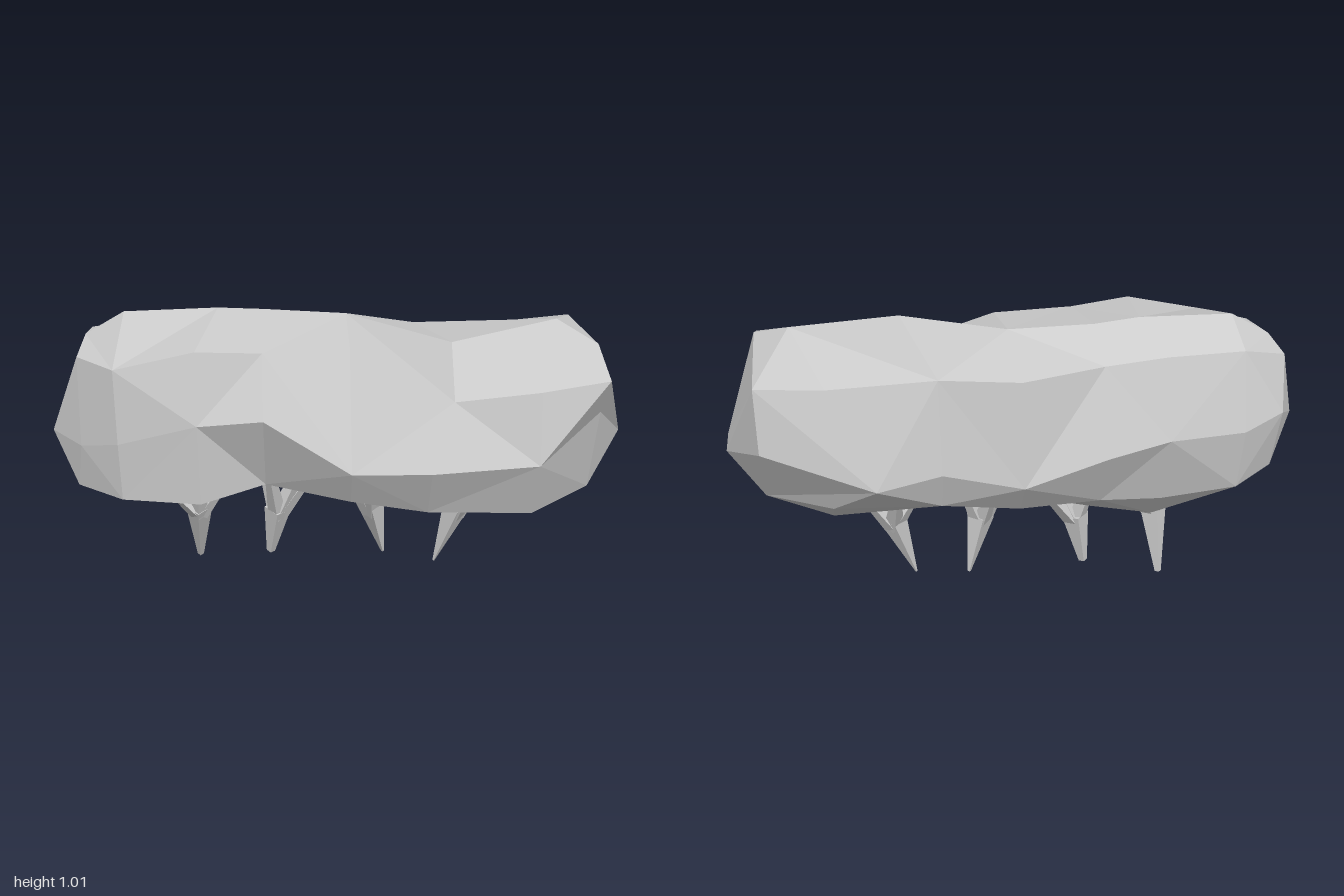
import * as THREE from 'three';

const material = new THREE.MeshStandardMaterial({ color: 0xcccccc, flatShading: true });

// Sections along x. Each has eight [y, z, optional x shift] points: front, front
// shoulder, top, back shoulder, back, lower back, underside, lower front.
const SECTIONS = [
  [-0.88, [.60, .14], [.90, .08], [.92, -.12], [.90, -.27], [.70, -.31], [.47, -.25], [.40, -.05], [.43, .09, -.03]],
  [-0.74, [.64, .235], [.90, .225], [1.0, -.12], [.92, -.27], [.65, -.34], [.42, -.30], [.35, -.12], [.43, .22]],
  [-0.47, [.72, .285], [.96, .23], [1.01, -.12, .06], [.92, -.275], [.65, -.36], [.39, -.28], [.28, -.19], [.43, .27]],
  [-0.25, [.74, .30], [.945, .205], [1.0, -.13], [.91, -.29], [.62, -.39], [.41, -.29], [.32, -.17], [.46, .18]],
  [0.04, [.57, .36], [.95, .18], [.99, -.10], [.91, -.37], [.55, -.415], [.43, -.33], [.37, -.12], [.44, .29]],
  [0.30, [.59, .41], [.80, .30, .08], [.965, .17, .08], [.90, -.28], [.58, -.33], [.44, -.28], [.34, -.10], [.41, .32]],
  [0.66, [.60, .38], [.84, .33], [1.0, .03, .10], [.90, -.29], [.56, -.37, -.14], [.45, -.25], [.35, -.12], [.39, .30]],
  [0.88, [.74, .25], [.88, .34], [.945, .15], [.92, -.29], [.70, -.31], [.47, -.15], [.41, -.03], [.43, .17]],
];

// Faceted body: the sections are joined and each end closes onto a short ridge
function makeBody() {
  const rings = SECTIONS.map(([x, ...pts]) =>
    pts.map(([y, z, shift = 0]) => new THREE.Vector3(x + shift, y, z)));
  const endRidge = (ring, x, z0, z1) =>
    ring.map((p) => new THREE.Vector3(x, 0.605, THREE.MathUtils.clamp(p.z, z0, z1)));
  rings.unshift(endRidge(rings[0], -1, -0.11, 0));
  rings.push(endRidge(rings[rings.length - 1], 1, -0.06, 0.08));

  const positions = [];
  const triangle = (a, b, c) => {
    if (a.equals(b) || b.equals(c) || a.equals(c)) return;
    for (const p of [a, b, c]) positions.push(p.x, p.y, p.z);
  };
  for (let i = 0; i < rings.length - 1; i++) {
    for (let j = 0; j < 8; j++) {
      const k = (j + 1) % 8;
      const a = rings[i][j], b = rings[i + 1][j], c = rings[i + 1][k], d = rings[i][k];
      // alternate the diagonals for an irregular, chiselled look
      if ((i + j) % 2) {
        triangle(a, b, c);
        triangle(a, c, d);
      } else {
        triangle(a, b, d);
        triangle(b, c, d);
      }
    }
  }
  const geometry = new THREE.BufferGeometry();
  geometry.setAttribute('position', new THREE.Float32BufferAttribute(positions, 3));
  geometry.computeVertexNormals();
  const mesh = new THREE.Mesh(geometry, material);
  mesh.name = 'body';
  return mesh;
}

// Tapered four-sided limb from one point up to another
function limb(name, from, to, r0, r1) {
  const a = new THREE.Vector3(...from), b = new THREE.Vector3(...to);
  const dir = b.clone().sub(a);
  const mesh = new THREE.Mesh(new THREE.CylinderGeometry(r1, r0, dir.length(), 4), material);
  mesh.position.copy(a).add(b).multiplyScalar(0.5);
  mesh.quaternion.setFromUnitVectors(new THREE.Vector3(0, 1, 0), dir.normalize());
  mesh.name = name;
  return mesh;
}

// Stems: tip and its radius, fork, and the ends of the branches that reach into the body
const STEMS = [
  { tip: [-.52, .008, -.165], tipRadius: .012, fork: [-.51, .25, -.09], ends: [[-.63, .36, -.06], [-.55, .40, -.15], [-.39, .37, -.12], [-.50, .40, -.01]] },
  { tip: [-.245, .05, -.10], tipRadius: .016, fork: [-.215, .24, -.08], ends: [[-.27, .42, -.12], [-.11, .45, -.06], [-.04, .44, -.12], [-.24, .42, 0]] },
  { tip: [.185, .045, -.09], tipRadius: .006, fork: [.135, .26, -.06], ends: [[.03, .42, -.04], [.10, .41, -.14], [.20, .40, -.08], [.13, .40, .04]] },
  { tip: [.375, .03, -.033], tipRadius: .004, fork: [.45, .26, -.025], ends: [[.34, .40, -.03], [.44, .40, -.12], [.58, .42, -.04], [.49, .40, .08]] },
];

export function createModel() {
  const model = new THREE.Group();
  model.name = 'rootedMass';
  model.add(makeBody());
  STEMS.forEach(({ tip, tipRadius, fork, ends }, i) => {
    const stem = new THREE.Group();
    stem.name = `stem${i + 1}`;
    stem.add(limb('trunk', tip, fork, tipRadius, 0.05));
    const [x, y, z] = fork;
    ends.forEach((end) => stem.add(limb('branch', [x, y - 0.03, z], end, 0.036, 0.018)));
    model.add(stem);
  });
  return model;
}
